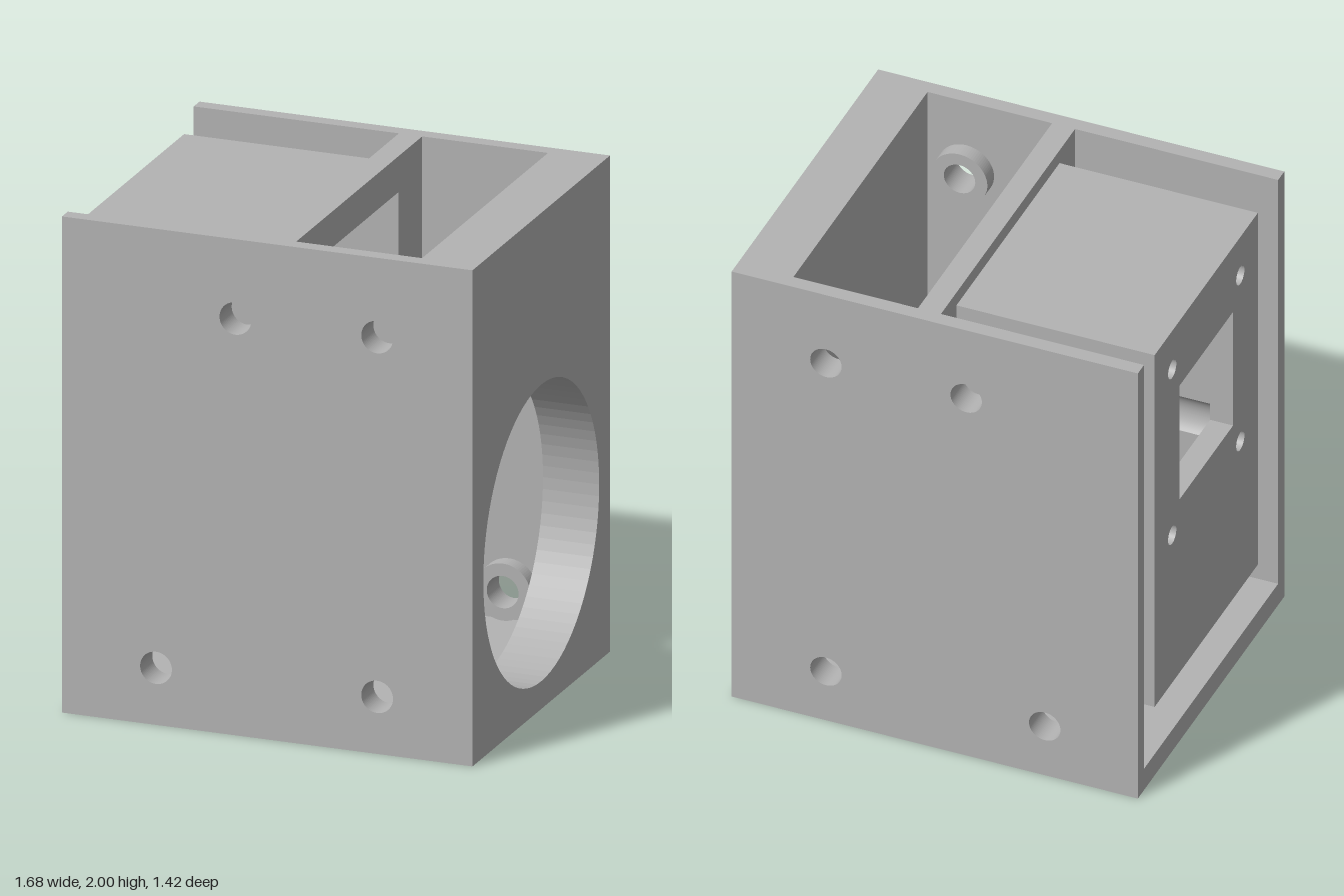
import * as THREE from 'three';

const SEG = 40;

// rectangle outline
function rect(Type, x0, y0, x1, y1) {
  const s = new Type();
  s.moveTo(x0, y0);
  s.lineTo(x1, y0);
  s.lineTo(x1, y1);
  s.lineTo(x0, y1);
  s.closePath();
  return s;
}

function circle(Type, x, y, r) {
  const s = new Type();
  s.absarc(x, y, r, 0, Math.PI * 2, false);
  return s;
}

function extrude(shape, depth) {
  return new THREE.ExtrudeGeometry(shape, { depth, bevelEnabled: false, curveSegments: SEG });
}

// extrude a (z, y) outline along x from x0 to x1
function extrudeX(shape, x0, x1) {
  return extrude(shape, x1 - x0).rotateY(Math.PI / 2).translate(x0, 0, 0);
}

export function createModel() {
  const group = new THREE.Group();
  const grey = new THREE.MeshStandardMaterial({ color: 0xb3b3b3 });
  grey.name = 'plainGrey';

  const add = (name, geometry) => {
    const mesh = new THREE.Mesh(geometry, grey);
    mesh.name = name;
    group.add(mesh);
    return mesh;
  };

  const X = 0.84, H = 2, Z = 0.71, ZI = 0.65, FLOOR = 0.1;
  const mounts = [[-0.13, 1.68], [0.45, 1.68], [-0.455, 0.23], [0.45, 0.23]];

  // front and back walls with screw holes, and hollow bosses inside
  for (const side of [1, -1]) {
    const label = side > 0 ? 'front' : 'back';
    const wall = rect(THREE.Shape, -X, 0, X, H);
    for (const [x, y] of mounts) wall.holes.push(circle(THREE.Path, x, y, 0.065));
    add(label + 'Wall', extrude(wall, Z - ZI).translate(0, 0, side > 0 ? ZI : -Z));
    for (const [x, y] of mounts) {
      const ring = circle(THREE.Shape, x, y, 0.115);
      ring.holes.push(circle(THREE.Path, x, y, 0.065));
      add(label + 'ScrewBoss', extrude(ring, 0.065).translate(0, 0, side > 0 ? 0.585 : -ZI));
    }
  }

  // floor
  add('floor', new THREE.BoxGeometry(1.45, FLOOR, ZI * 2).translate(-0.115, FLOOR / 2, 0));

  // thick end wall with the large round opening
  const endWall = rect(THREE.Shape, -ZI, 0, ZI, H);
  endWall.holes.push(circle(THREE.Path, 0, 0.71, 0.598));
  add('roundOpeningWall', extrudeX(endWall, 0.61, X));

  // inner opening, widened by the two lower screw access bores
  const W = 0.405, BZ = 0.33, LOW = 0.98, HIGH = 1.76, BR = 0.11;
  const a = Math.acos((W - BZ) / BR);
  const opening = () => {
    const p = new THREE.Path();
    p.moveTo(-W, 0.375);
    p.lineTo(W, 0.375);
    p.absarc(BZ, LOW, BR, -a, a, false);
    p.lineTo(W, 1.855);
    p.lineTo(-W, 1.855);
    p.absarc(-BZ, LOW, BR, Math.PI - a, Math.PI + a, false);
    p.closePath();
    return p;
  };

  // divider between the two chambers
  const divider = rect(THREE.Shape, -ZI, FLOOR, ZI, H);
  divider.holes.push(opening());
  add('divider', extrudeX(divider, 0, 0.095));

  // hollow housing reaching out from the divider
  const housingOutline = () => rect(THREE.Shape, -0.5, 0.285, 0.5, 1.94);
  const sleeve = housingOutline();
  sleeve.holes.push(opening());
  add('housingSleeve', extrudeX(sleeve, -0.725, 0));

  // housing end plate: counterbored inner layer, small holes outside
  for (const [name, x0, x1, r] of [['housingPlateInner', -0.77, -0.725, BR], ['housingPlateOuter', -0.82, -0.77, 0.04]]) {
    const plate = housingOutline();
    plate.holes.push(rect(THREE.Path, -0.26, 1.1, 0.26, 1.635));
    for (const z of [-BZ, BZ]) {
      plate.holes.push(circle(THREE.Path, z, LOW, r));
      plate.holes.push(circle(THREE.Path, z, HIGH, Math.min(r, 0.04)));
    }
    add(name, extrudeX(plate, x0, x1));
  }

  return group;
}
